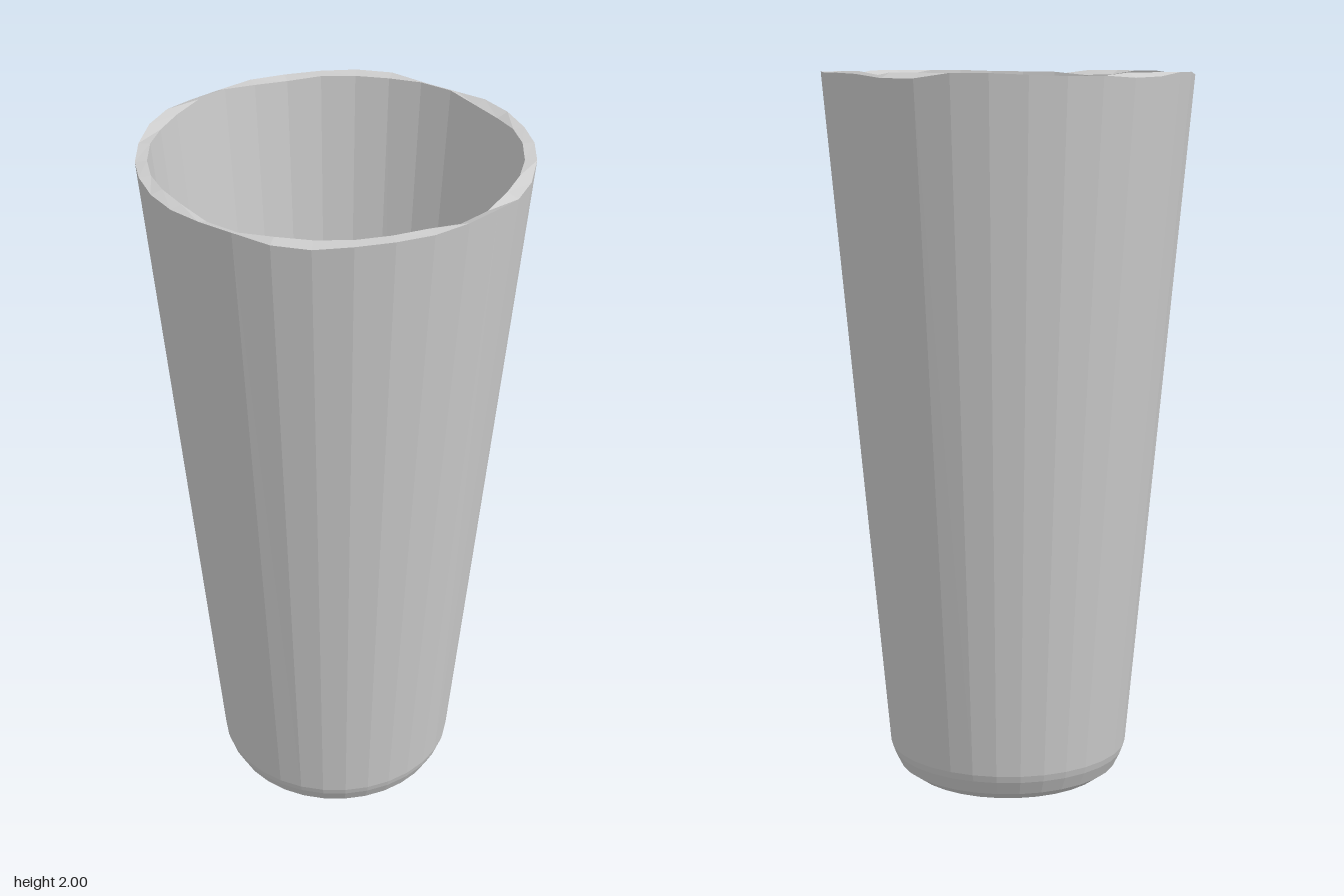
import * as THREE from 'three';

const SIDES = 32;

// Small uneven dips around the lip, repeating exactly once per turn
function lipDip(angle, phase) {
  const wave = Math.sin(5 * angle + phase) + 0.7 * Math.sin(9 * angle + 2 * phase);
  return 0.014 * THREE.MathUtils.clamp(0.35 + 0.6 * wave, 0, 1);
}

export function createModel() {
  const group = new THREE.Group();
  group.name = 'tumbler';

  // Closed wall profile: underside, bevelled foot, outer wall, lip, inner wall, inner floor
  const profile = [
    [0, 0], [0.28, 0], [0.315, 0.025], [0.335, 0.065], [0.341, 0.085],
    [0.513, 2], [0.482, 2],
    [0.307, 0.08], [0, 0.08],
  ].map(([r, y]) => new THREE.Vector2(r, y));
  const geometry = new THREE.LatheGeometry(profile, SIDES);

  // Roughen the two lip rings slightly
  const pos = geometry.attributes.position;
  for (let i = 0; i < pos.count; i++) {
    if (pos.getY(i) < 1.9) continue;
    const ring = i % profile.length;
    const step = Math.floor(i / profile.length) % SIDES;
    pos.setY(i, 2 - lipDip((step / SIDES) * Math.PI * 2, ring === 5 ? 0.4 : 2.3));
  }
  geometry.computeVertexNormals();

  const material = new THREE.MeshStandardMaterial({ color: 0xcccccc, flatShading: true });
  const cup = new THREE.Mesh(geometry, material);
  cup.name = 'cupBody';
  group.add(cup);
  return group;
}
